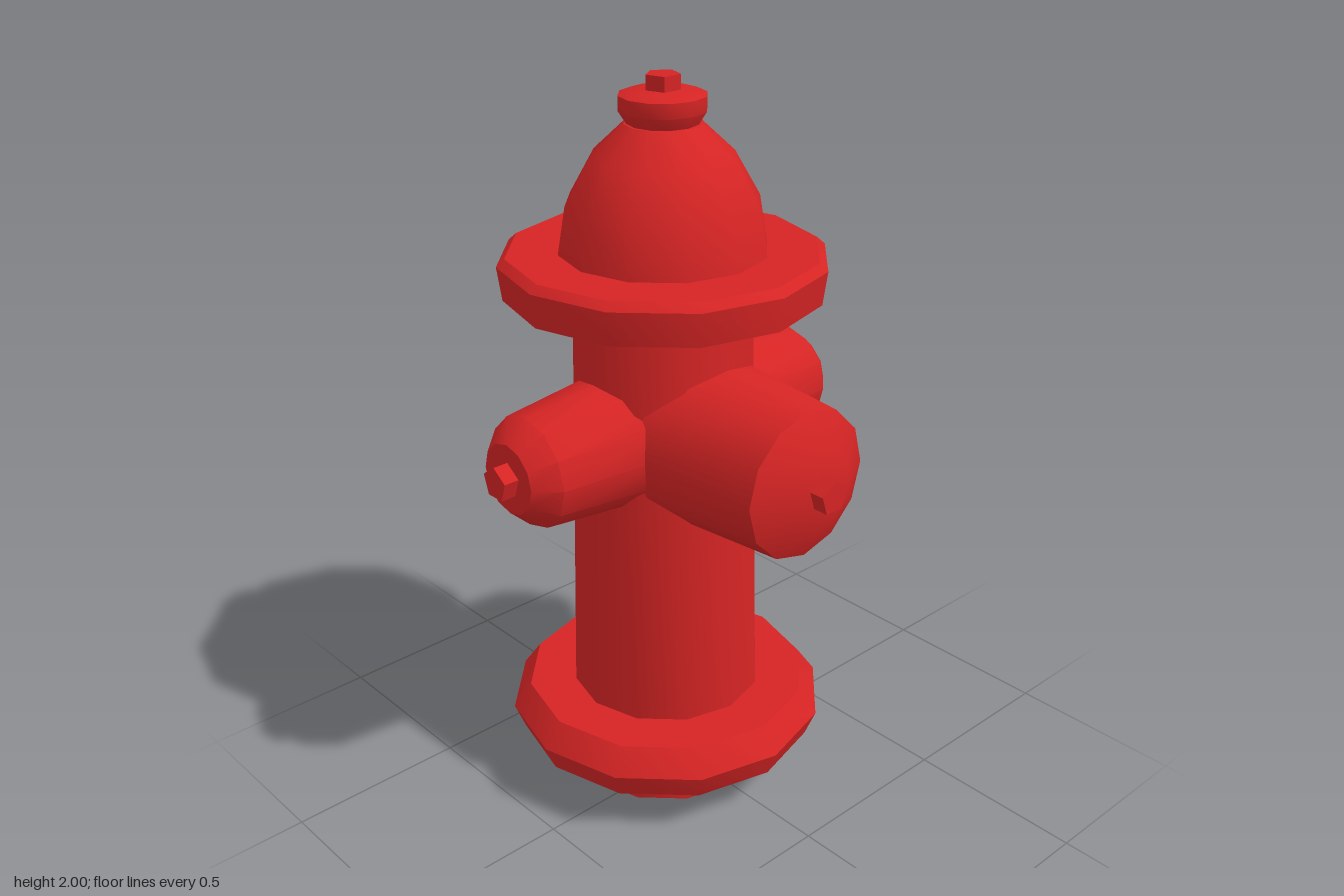
import * as THREE from 'three';
import { toCreasedNormals } from 'three/addons/utils/BufferGeometryUtils.js';

const SIDES = 12;
const CENTRE_Z = -0.083;
const NOZZLE_Y = 1.07;

export function createModel() {
  const red = new THREE.MeshStandardMaterial({ color: 0xd62424 });
  red.name = 'hydrant red';

  // Turned part from [radius, height] pairs, with sharp rims and smooth walls
  function turned(name, profile) {
    const points = profile.map(([r, y]) => new THREE.Vector2(r, y));
    const geometry = toCreasedNormals(new THREE.LatheGeometry(points, SIDES), Math.PI / 5);
    const mesh = new THREE.Mesh(geometry, red);
    mesh.name = name;
    return mesh;
  }

  // Five-sided operating nut standing on the given height
  function nut(name, base, height) {
    const geometry = toCreasedNormals(new THREE.CylinderGeometry(0.046, 0.046, height, 5), Math.PI / 5);
    const mesh = new THREE.Mesh(geometry, red);
    mesh.name = name;
    mesh.rotation.y = Math.PI;
    mesh.position.y = base + height / 2;
    return mesh;
  }

  // Tapered outlet with a bevelled cap and nut, turned about the barrel
  function nozzle(name, profile, angle) {
    const tip = profile[profile.length - 1][1];
    const outlet = new THREE.Group();
    outlet.add(turned(name + 'Body', profile), nut(name + 'Nut', tip - 0.01, 0.052));
    outlet.rotation.x = Math.PI / 2;
    const pivot = new THREE.Group();
    pivot.name = name;
    pivot.add(outlet);
    pivot.position.y = NOZZLE_Y;
    pivot.rotation.y = angle;
    return pivot;
  }

  const model = new THREE.Group();
  model.name = 'hydrant';
  const hydrant = new THREE.Group();
  hydrant.name = 'hydrantBody';
  hydrant.position.z = CENTRE_Z;
  model.add(hydrant);

  // Hollow foot, lower flange and barrel
  hydrant.add(turned('footCollar', [[0, 0.19], [0.27, 0.19], [0.27, 0], [0.275, 0], [0.275, 0.13]]));
  hydrant.add(turned('baseFlange', [[0.27, 0.125], [0.42, 0.125], [0.45, 0.2], [0.4, 0.27], [0.26, 0.27]]));
  hydrant.add(turned('barrel', [[0.268, 0.265], [0.24, 1.445]]));

  // Upper flange, bonnet and top cap
  hydrant.add(turned('bonnetFlange', [[0.23, 1.445], [0.42, 1.445], [0.432, 1.535], [0.41, 1.555], [0.26, 1.555]]));
  hydrant.add(turned('bonnet', [[0.275, 1.55], [0.253, 1.68], [0.185, 1.8], [0.1, 1.88], [0, 1.88]]));
  hydrant.add(turned('topCap', [[0.086, 1.87], [0.113, 1.912], [0.113, 1.95], [0.075, 1.962], [0, 1.962]]));
  hydrant.add(nut('topNut', 1.95, 0.05));

  // Large front outlet and two smaller side outlets
  hydrant.add(nozzle('frontNozzle', [[0.23, 0.1], [0.2, 0.525], [0.1, 0.578], [0, 0.578]], 0));
  const sideProfile = [[0.187, 0.1], [0.15, 0.466], [0.095, 0.526], [0, 0.526]];
  hydrant.add(nozzle('leftNozzle', sideProfile, Math.PI / 2));
  hydrant.add(nozzle('rightNozzle', sideProfile, -Math.PI / 2));

  return model;
}
